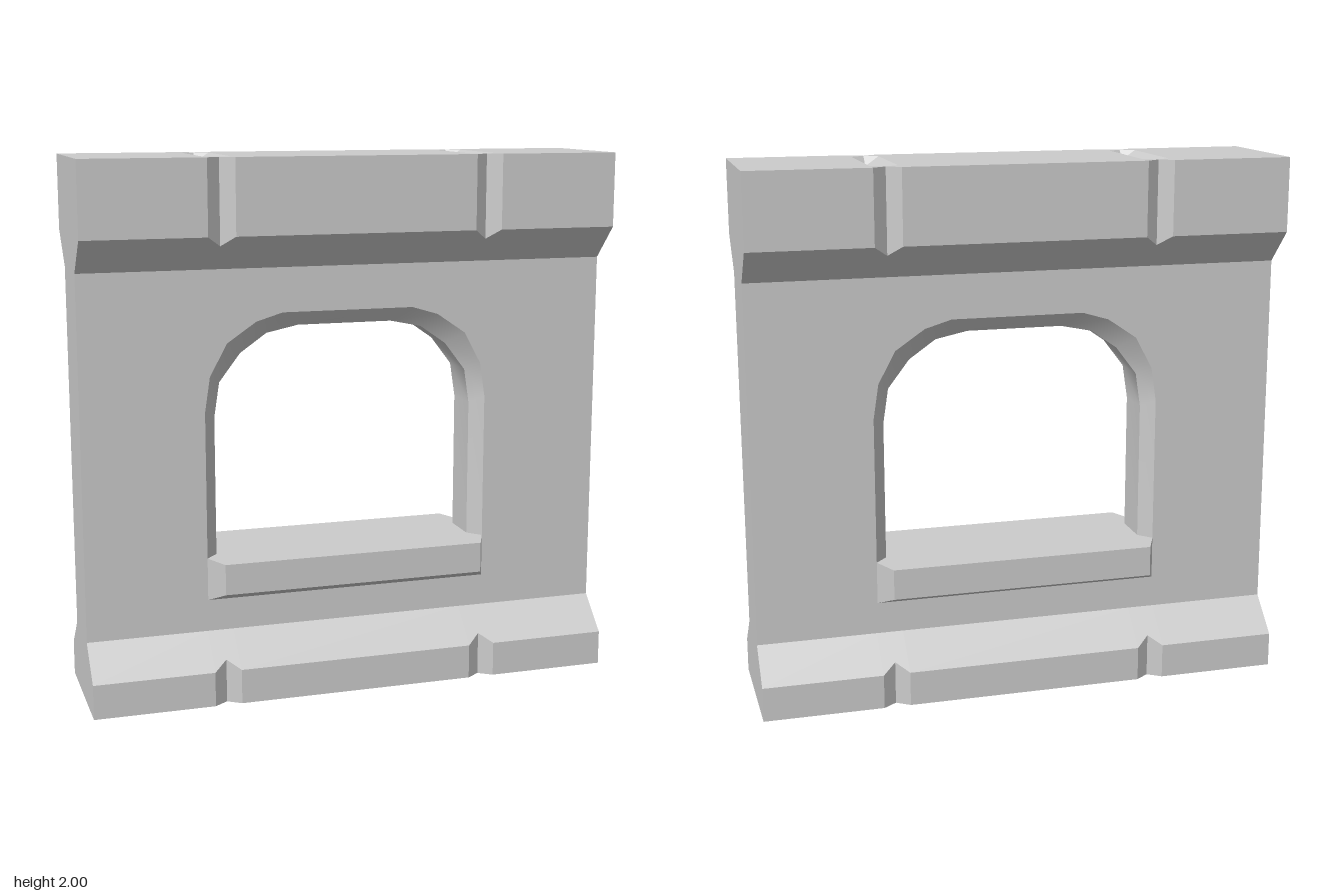
import * as THREE from 'three';

const concrete = new THREE.MeshStandardMaterial({ color: 0xcccccc, side: THREE.DoubleSide });
concrete.name = 'concrete grey';

// Surface through rows of equal length, running top to bottom and left to right
function loft(rows, smooth = false) {
  const n = rows[0].length, index = [];
  for (let r = 0; r < rows.length - 1; r++) {
    for (let i = 0; i < n - 1; i++) {
      const a = r * n + i, b = a + n;
      index.push(a, b, a + 1, a + 1, b, b + 1);
    }
  }
  let g = new THREE.BufferGeometry();
  g.setAttribute('position', new THREE.Float32BufferAttribute(rows.flat(2), 3));
  g.setIndex(index);
  if (!smooth) g = g.toNonIndexed();
  g.computeVertexNormals();
  return g;
}

const toShape = pts => new THREE.Shape(pts.map(p => new THREE.Vector2(p[0], p[1])));

function flat(outline, holes = []) {
  const shape = toShape(outline);
  holes.forEach(h => shape.holes.push(toShape(h)));
  return new THREE.ShapeGeometry(shape);
}

function add(parent, name, geometry) {
  const mesh = new THREE.Mesh(geometry, concrete);
  mesh.name = name;
  parent.add(mesh);
  return mesh;
}

const WALL = 0.125, FACE = 0.25, NOTCH = 0.215;

// Front edge of cap and base in plan, with two V notches
const edge = [[-1, FACE], [-0.55, FACE], [-0.5, NOTCH], [-0.45, FACE],
  [0.45, FACE], [0.5, NOTCH], [0.55, FACE], [1, FACE]];

// Half arches, from sill to crown on the right
const outerHalf = [[0.545, 0.53], [0.545, 1.08], [0.525, 1.21], [0.46, 1.33], [0.35, 1.405], [0.25, 1.435]];
const innerHalf = [[0.5, 0.53], [0.5, 1.05], [0.48, 1.18], [0.4, 1.285], [0.3, 1.355], [0.18, 1.38]];
const arch = half => [...half.map(([x, y]) => [-x, y]), ...[...half].reverse()];
const atZ = (pts, z) => pts.map(([x, y]) => [x, y, z]);

function createSide() {
  const side = new THREE.Group();
  const outer = arch(outerHalf), inner = arch(innerHalf);

  // Wall face and bevelled window edge
  add(side, 'wallFace', flat([[-1, 0.25], [1, 0.25], [1, 1.6], [-1, 1.6]], [outer]).translate(0, 0, WALL));
  add(side, 'windowBevel', loft([atZ(outer, WALL), atZ(inner, 0.075)], true));

  // Cap and base: notched vertical face plus slope back to the wall
  const band = (yEdge, yCorner, yWall) => {
    const meet = z => yCorner + (yWall - yCorner) * (FACE - z) / (FACE - WALL);
    return [edge.map(([x, z]) => [x, yEdge, z]),
      edge.map(([x, z]) => [x, meet(z), z]),
      edge.map(([x]) => [x, yWall, WALL])];
  };
  add(side, 'capBand', loft(band(2, 1.725, 1.6)));
  add(side, 'baseBand', loft(band(0, 0.13, 0.25).reverse()));

  // Projecting sill with tapered ends and underside
  const sill = [[0.5, 0.53, 0], [0.5, 0.53, 0.075], [0.545, 0.53, WALL],
    [0.5, 0.53, 0.225], [0.5, 0.415, 0.225], [0.545, 0.37, WALL]];
  add(side, 'sill', loft(sill.map(([x, y, z]) => [[-x, y, z], [x, y, z]])));
  for (const s of [-1, 1]) {
    const rows = [[[s * 0.5, 0.53, 0.225], [s * 0.545, 0.53, WALL]],
      [[s * 0.5, 0.415, 0.225], [s * 0.545, 0.37, WALL]]];
    add(side, 'sillEnd', loft(s > 0 ? rows : rows.map(r => r.reverse())));
  }
  return side;
}

export function createModel() {
  const model = new THREE.Group();
  model.name = 'windowWall';

  // Front and back are the same
  const front = createSide();
  front.name = 'frontSide';
  const back = createSide();
  back.name = 'backSide';
  back.rotation.y = Math.PI;
  model.add(front, back);

  // Inside of the window opening
  const inner = arch(innerHalf);
  add(model, 'windowJamb', loft([atZ(inner, 0.075), atZ(inner, -0.075)], true));

  // End walls
  const profile = [[FACE, 0], [FACE, 0.13], [WALL, 0.25], [WALL, 1.6], [FACE, 1.725], [FACE, 2]];
  const endOutline = [...profile, ...[...profile].reverse().map(([z, y]) => [-z, y])];
  for (const s of [-1, 1]) {
    add(model, s > 0 ? 'leftEnd' : 'rightEnd',
      flat(endOutline).rotateY(s * Math.PI / 2).translate(s, 0, 0));
  }

  // Top with two shallow V grooves; the underside is open
  const tip = 0.213, run = 0.18;
  const grooveOutline = x => [[x, -tip], [x + 0.05, -run], [x + 0.05, run],
    [x, tip], [x - 0.05, run], [x - 0.05, -run]];
  const topOutline = [...edge, ...[...edge].reverse().map(([x, z]) => [x, -z])];
  add(model, 'top', flat(topOutline, [grooveOutline(-0.5), grooveOutline(0.5)])
    .rotateX(-Math.PI / 2).translate(0, 2, 0));
  for (const x of [-0.5, 0.5]) {
    const rows = [[0.05, 2], [0, 1.965], [-0.05, 2]].map(([dx, y]) =>
      [[x, 2, -tip], [x + dx, y, -run], [x + dx, y, run], [x, 2, tip]]);
    add(model, 'topGroove', loft(rows));
  }
  return model;
}
